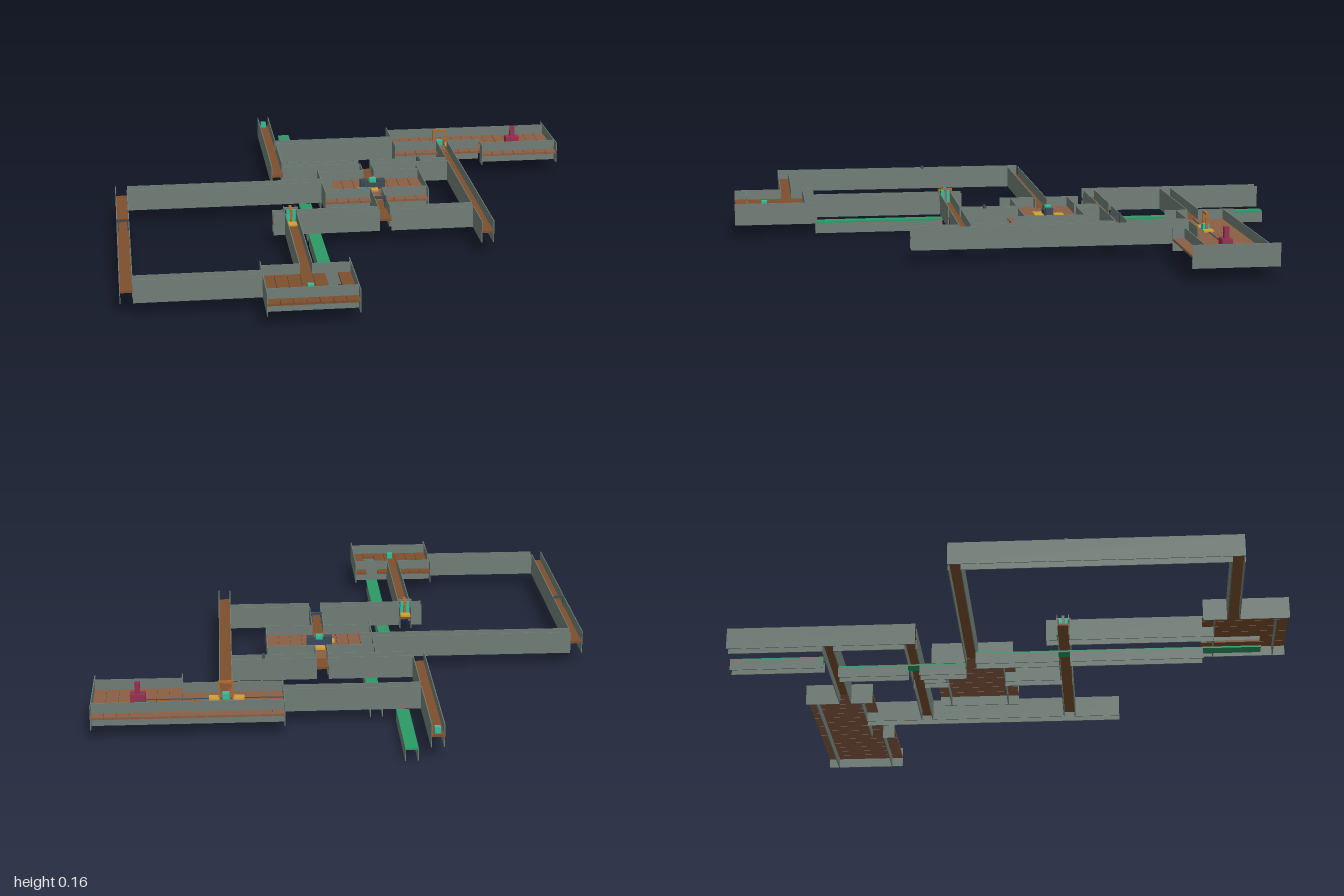
import * as THREE from 'three';

const mat = (color) => new THREE.MeshStandardMaterial({ color, flatShading: true });
const M = {
  wall: mat(0x6f7d75), floor: mat(0x8a5f45), plank: mat(0x7d4f2e), water: mat(0x2c9a66),
  gold: mat(0xd0a038), teal: mat(0x2fc09a), wood: mat(0xb06a28), iron: mat(0x3c4a55), red: mat(0x96304f),
};
const BASE = 0.045, DECK = 0.089, TOP = 0.125, T = 0.003;

// Corridors: x0, x1, z0, z1, and the axis they run along
const corridors = [
  [-0.277, -0.235, -1.0, -0.32, 'z'],
  [-0.235, 0.23, -0.66, -0.618, 'x'],
  [0.402, 0.444, -0.58, 0.4, 'z'],
  [-0.235, 0.402, -0.363, -0.321, 'x'],
  [0.062, 0.104, -0.363, -0.235, 'z'],
  [0.062, 0.104, -0.02, 0.23, 'z'],
  [-0.83, -0.068, -0.152, -0.11, 'x'],
  [-0.872, -0.83, -0.152, 0.826, 'z'],
  [-0.83, -0.405, 0.784, 0.826, 'x'],
  [-0.277, -0.235, 0.148, 0.74, 'z'],
  [-0.32, 0.402, 0.188, 0.23, 'x'],
];

export function createModel() {
  const model = new THREE.Group();

  // Box from its limits
  const box = (name, m, x0, x1, y0, y1, z0, z1, parent = model) => {
    const b = new THREE.Mesh(new THREE.BoxGeometry(x1 - x0, y1 - y0, z1 - z0), m);
    b.position.set((x0 + x1) / 2, (y0 + y1) / 2, (z0 + z1) / 2);
    b.name = name;
    parent.add(b);
  };

  // Thin wall along an axis, opened wherever another corridor meets it
  const wall = (name, axis, at, from, to, y0 = BASE, y1 = TOP, own = null) => {
    let spans = [[from, to]];
    for (const c of corridors) {
      if (c === own) continue;
      const [a0, a1, b0, b1] = axis === 'x' ? c : [c[2], c[3], c[0], c[1]];
      if (at < b0 - 0.004 || at > b1 + 0.004) continue;
      if (c[4] === axis) continue;
      spans = spans.flatMap(([s, e]) => (a1 <= s || a0 >= e)
        ? [[s, e]] : [[s, a0], [a1, e]].filter(([p, q]) => q - p > 0.004));
    }
    for (const [s, e] of spans) {
      if (axis === 'x') box(name, M.wall, s, e, y0, y1, at - T / 2, at + T / 2);
      else box(name, M.wall, at - T / 2, at + T / 2, y0, y1, s, e);
    }
  };

  for (const c of corridors) {
    const [x0, x1, z0, z1, axis] = c;
    box('corridorFloor', M.plank, x0, x1, DECK - 0.008, DECK, z0, z1);
    const sides = axis === 'x' ? [z0, z1] : [x0, x1];
    const [s, e] = axis === 'x' ? [x0, x1] : [z0, z1];
    for (const p of sides) wall('corridorWall', axis, p, s, e, BASE, TOP, c);
  }

  // Room floors are laid in columns, each with its own z range
  const roomFloor = (m, x0, x1, count, range) => {
    const w = (x1 - x0) / count;
    for (let i = 0; i < count; i++) {
      const [z0, z1] = range(i);
      box('roomFloor', m, x0 + i * w, x0 + (i + 1) * w - 0.0015, DECK - 0.008, DECK, z0, z1);
    }
  };

  // East hall with a wider far end
  roomFloor(M.floor, 0.23, 0.87, 15, (i) => [-0.79, i < 8 ? -0.535 : -0.49]);
  wall('hallWall', 'x', -0.75, 0.23, 0.87);
  wall('hallWall', 'x', -0.578, 0.23, 0.571);
  wall('hallWall', 'x', -0.533, 0.571, 0.87);
  wall('hallWall', 'z', 0.23, -0.79, -0.535);
  wall('hallWall', 'z', 0.571, -0.535, -0.49);
  wall('hallWall', 'z', 0.87, -0.79, -0.49);

  // Middle room
  roomFloor(M.floor, -0.108, 0.273, 9, () => [-0.277, 0.02]);
  for (const z of [-0.235, -0.02]) wall('middleRoomWall', 'x', z, -0.108, 0.273);
  for (const x of [-0.108, 0.273]) wall('middleRoomWall', 'z', x, -0.277, 0.02);

  // Front room, with a slot above the water
  roomFloor(M.plank, -0.406, -0.106, 7, (i) => [i === 5 ? 0.91 : 0.7, 1.0]);
  for (const z of [0.742, 0.955]) wall('frontRoomWall', 'x', z, -0.406, -0.106);
  for (const x of [-0.406, -0.106]) wall('frontRoomWall', 'z', x, 0.7, 1.0);

  // Water channels on low side walls
  for (const [x0, x1, z0, z1, wallEnd] of [
    [-0.194, -0.15, -1, -0.66, -0.66],
    [-0.109, -0.065, -0.618, -0.152, -0.152],
    [-0.194, -0.15, -0.11, 0.91, 0.704],
  ]) {
    box('channelWater', M.water, x0, x1, 0.038, 0.044, z0, z1);
    for (const x of [x0 + T / 2, x1 - T / 2]) wall('channelWall', 'z', x, z0, wallEnd, 0, 0.04);
  }
  box('channelEndWall', M.wall, -0.194, -0.15, 0, 0.038, 0.701, 0.704);

  // Door frames: two posts and a lintel, spanning x or z
  const frame = (name, m, x, z, axis, top, w = 0.046) => {
    const g = new THREE.Group();
    g.name = name;
    for (const s of [-1, 1]) box('post', m, s * w / 2 - 0.003, s * w / 2 + 0.003, DECK, top, -0.004, 0.004, g);
    box('lintel', m, -w / 2 - 0.003, w / 2 + 0.003, top - 0.008, top, -0.005, 0.005, g);
    g.position.set(x, 0, z);
    if (axis === 'z') g.rotation.y = Math.PI / 2;
    model.add(g);
  };
  frame('hallGate', M.wood, 0.423, -0.64, 'x', 0.152);
  frame('crossingGate', M.wood, -0.256, 0.209, 'z', 0.14);
  frame('crossingGate', M.wall, -0.256, 0.209, 'x', 0.14);
  frame('corridorFrame', M.iron, -0.851, 0.24, 'x', 0.131, 0.036);
  frame('corridorFrame', M.iron, 0.083, 0.1, 'x', 0.131, 0.036);
  frame('corridorFrame', M.iron, 0.29, -0.342, 'z', 0.131, 0.036);

  // Gold mats beside the gates and in the middle room
  for (const [x, z] of [[0.38, -0.64], [0.463, -0.64], [-0.256, 0.168], [-0.256, 0.25], [0.083, -0.172], [0.045, -0.1], [0.083, -0.1]])
    box('goldMat', M.gold, x - 0.018, x + 0.018, DECK, DECK + 0.006, z - 0.018, z + 0.018);

  // Teal markers
  for (const [x, z, r, top] of [[-0.256, 0.209, 0.016, 0.135], [-0.256, -0.98, 0.01, 0.11], [-0.256, 0.89, 0.01, 0.11], [0.423, -0.64, 0.012, 0.11]])
    box('tealMarker', M.teal, x - r, x + r, DECK, top, z - r, z + r);

  // Iron machine in the middle room
  box('machineBody', M.iron, 0.05, 0.118, DECK, 0.112, -0.145, -0.115);
  for (const x of [0.052, 0.116]) box('machineEnd', M.iron, x - 0.014, x + 0.014, DECK, 0.122, -0.145, -0.119);
  box('machineCore', M.teal, 0.072, 0.096, 0.112, 0.128, -0.142, -0.12);

  // Red seat at the far end of the hall
  box('seatBase', M.red, 0.692, 0.745, DECK, 0.115, -0.658, -0.622);
  box('seatBack', M.red, 0.711, 0.729, 0.115, 0.155, -0.65, -0.632);
  box('hallFloorLine', M.iron, 0.23, 0.692, DECK, DECK + 0.002, -0.642, -0.638);

  return model;
}
